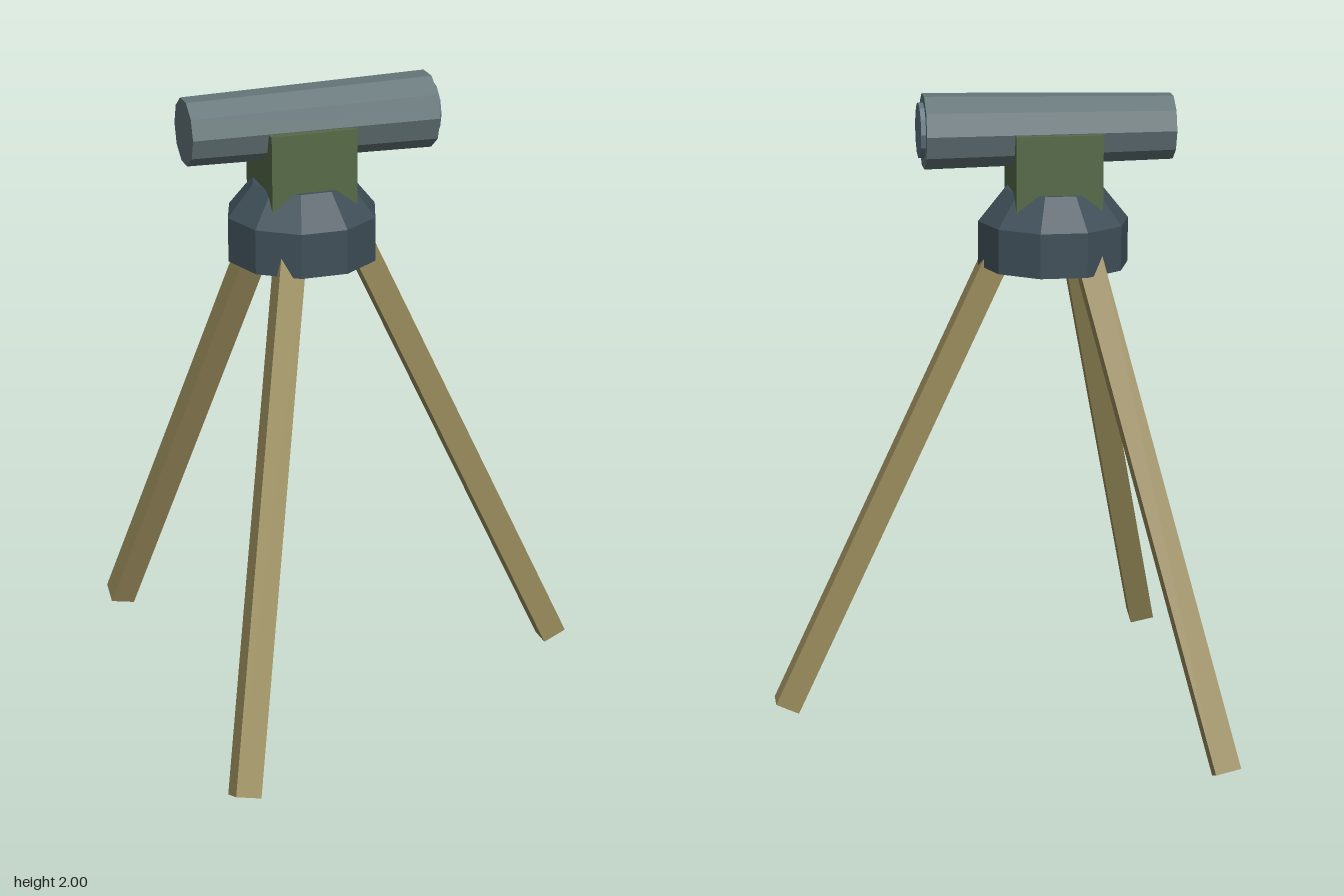
import * as THREE from 'three';

const material = (name, color) => {
  const m = new THREE.MeshStandardMaterial({ color, flatShading: true });
  m.name = name;
  return m;
};

export function createModel() {
  const wood = material('olive wood', 0x9a8c5c);
  const slate = material('dark slate', 0x3f4f58);
  const green = material('army green', 0x566a48);
  const grey = material('grey metal', 0x647578);
  const glass = material('lens blue grey', 0x607381);

  const group = new THREE.Group();
  const axisX = -0.215; // vertical axis of the stand
  const add = (name, geometry, mat, x, y, z = 0) => {
    const mesh = new THREE.Mesh(geometry, mat);
    mesh.name = name;
    mesh.position.set(x, y, z);
    group.add(mesh);
    return mesh;
  };

  // Three splayed legs, tilted straight from vertical
  const up = new THREE.Vector3(0, 1, 0);
  for (let i = 0; i < 3; i++) {
    const a = (i * Math.PI * 2) / 3;
    const at = (r, y) => new THREE.Vector3(axisX + r * Math.cos(a), y, r * Math.sin(a));
    const foot = at(0.86, 0.024);
    const top = at(0.155, 1.54);
    const mid = foot.clone().add(top).multiplyScalar(0.5);
    const leg = add('leg' + (i + 1), new THREE.BoxGeometry(0.08, foot.distanceTo(top), 0.08), wood, mid.x, mid.y, mid.z);
    leg.quaternion.setFromUnitVectors(up, top.clone().sub(foot).normalize());
  }

  // Ten-sided hub with a sloping shoulder, corners on the x axis
  const hub = (rTop, rBottom, h) => new THREE.CylinderGeometry(rTop, rBottom, h, 10).rotateY(Math.PI / 2);
  add('hub', hub(0.237, 0.237, 0.14), slate, axisX, 1.53);
  add('hubShoulder', hub(0.156, 0.237, 0.1), slate, axisX, 1.65);

  // Mounting block under the barrel
  add('mountBlock', new THREE.BoxGeometry(0.27, 0.235, 0.27), green, axisX, 1.7675);

  // Tapered barrel along x, wide end at +x
  const alongX = (rPlus, rMinus, length, sides) =>
    new THREE.CylinderGeometry(rPlus, rMinus, length, sides).rotateZ(-Math.PI / 2);
  add('barrel', alongX(0.119, 0.104, 0.778, 10), grey, -0.196, 1.887);
  add('lens', alongX(0.087, 0.087, 0.03, 12), glass, 0.193, 1.89);

  return group;
}
